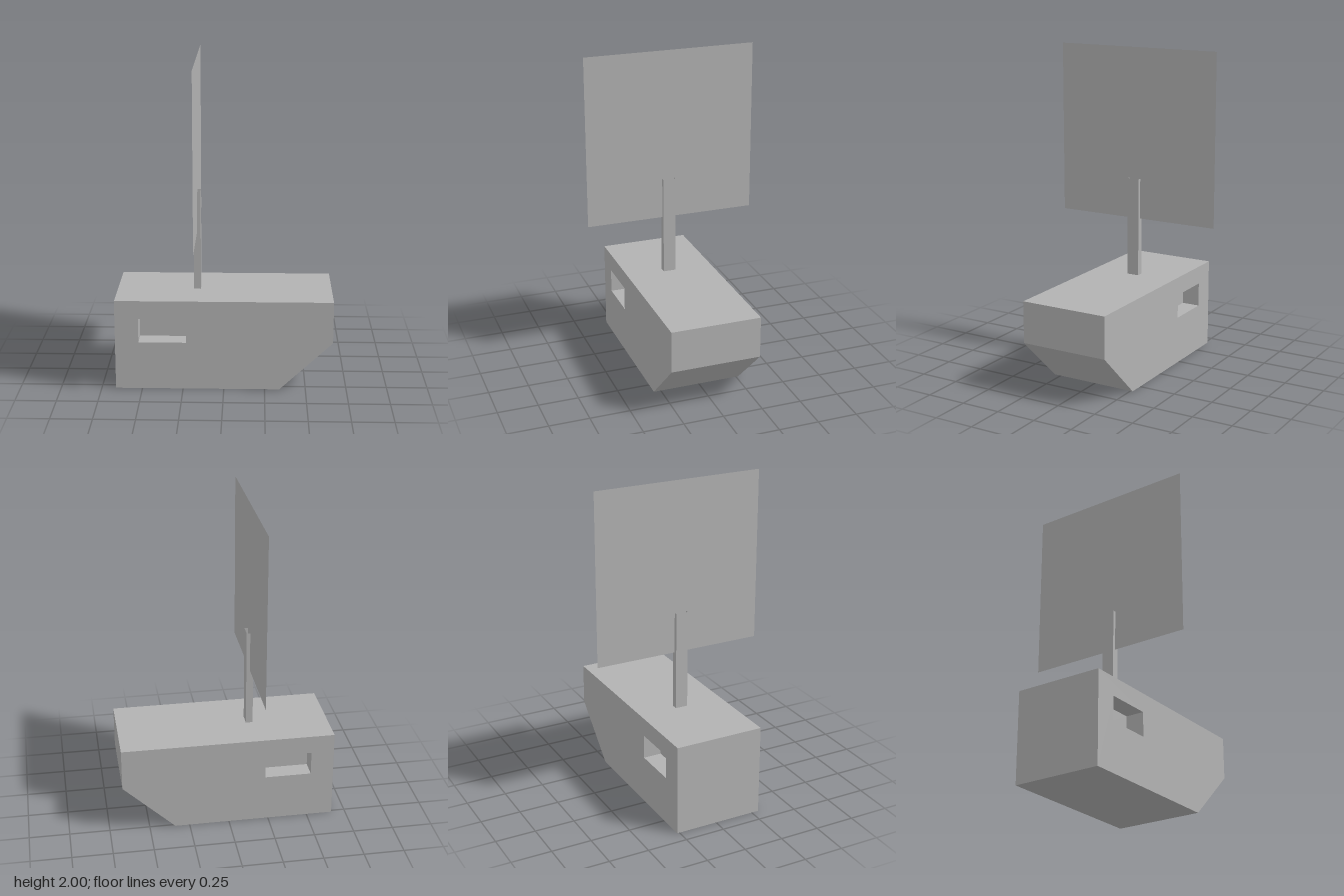
import * as THREE from 'three';

export function createModel() {
  const model = new THREE.Group();
  const grey = new THREE.MeshStandardMaterial({ color: 0xb2b2b2, side: THREE.DoubleSide });
  grey.name = 'plain grey';

  const add = (name, geometry, x, y, z) => {
    const mesh = new THREE.Mesh(geometry, grey);
    mesh.name = name;
    mesh.position.set(x, y, z);
    model.add(mesh);
    return mesh;
  };

  // Hull: side profile with a sloped bow and a window opening
  const back = -0.265, front = 0.295;
  const points = (list) => list.map(([x, y]) => new THREE.Vector2(x, y));
  const profile = new THREE.Shape(points([
    [-0.663, 0], [0.34, 0], [0.663, 0.305], [0.663, 0.565], [-0.663, 0.565],
  ]));
  profile.holes.push(new THREE.Path(points([
    [-0.52, 0.3], [-0.52, 0.45], [-0.23, 0.45], [-0.23, 0.3],
  ])));
  const hull = new THREE.ExtrudeGeometry(profile, { depth: front - back, bevelEnabled: false });
  add('hull', hull, 0, 0, back);

  // Solid core that closes the opening, leaving a recess on each side
  const recess = 0.115;
  add('windowCore', new THREE.BoxGeometry(0.29, 0.15, front - back - 2 * recess),
    -0.375, 0.375, (front + back) / 2);

  // Mast: four walls, open at the top
  const mast = new THREE.BoxGeometry(0.043, 0.62, 0.078);
  const index = Array.from(mast.index.array);
  mast.setIndex([...index.slice(0, 12), ...index.slice(24)]);
  mast.clearGroups();
  add('mast', mast, -0.169, 0.875, 0.016);

  // Sail: a flat sheet crossing the mast
  const sail = add('sail', new THREE.PlaneGeometry(1.075, 1.07), -0.17, 1.465, 0.002);
  sail.rotation.y = Math.PI / 2;

  return model;
}
